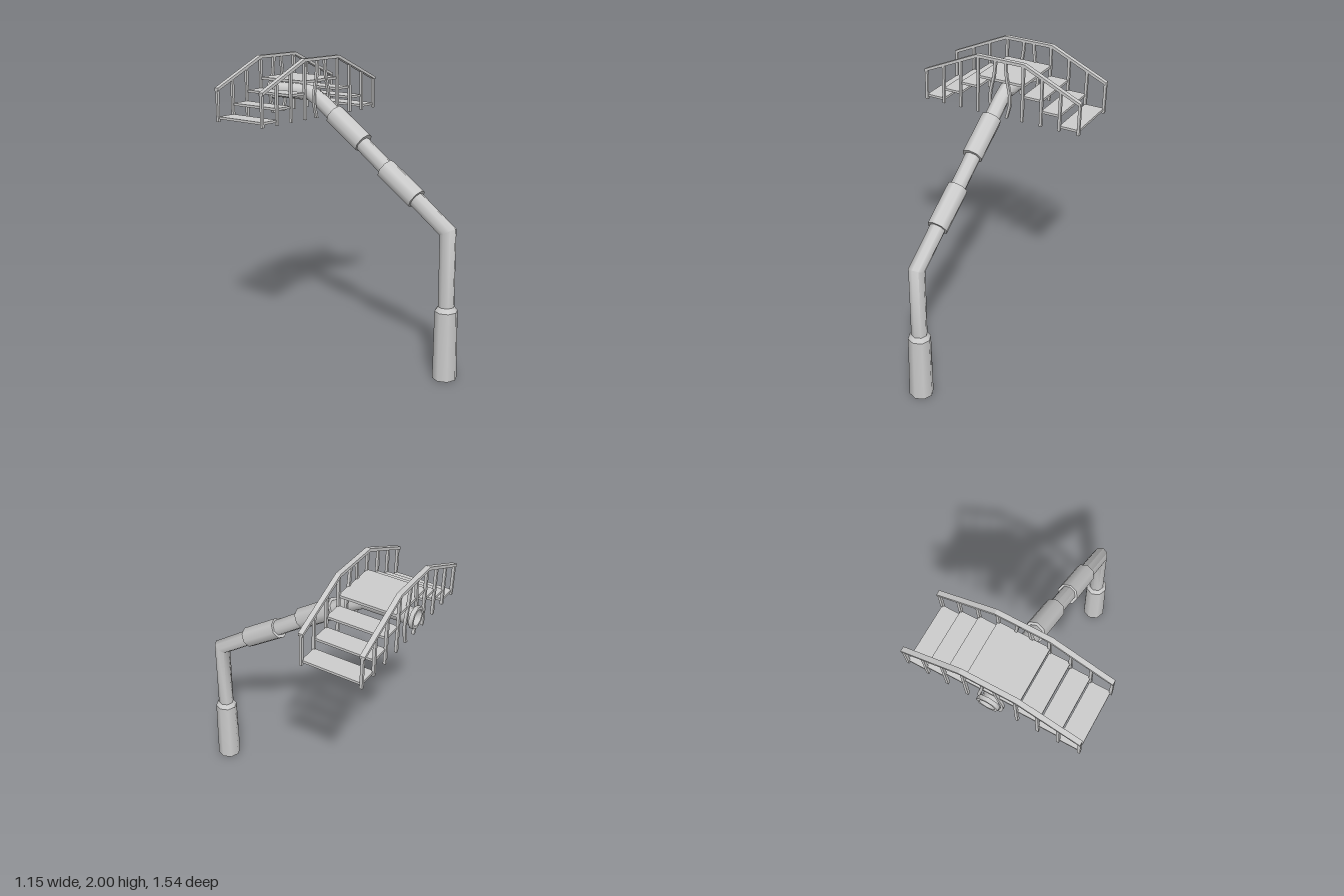
import * as THREE from 'three';
import { toCreasedNormals } from 'three/addons/utils/BufferGeometryUtils.js';

const SIDES = 8;
const PIPE_R = 0.053;
const grey = new THREE.MeshStandardMaterial({ color: 0xcccccc });
const greyOpen = new THREE.MeshStandardMaterial({ color: 0xcccccc, side: THREE.DoubleSide });

function add(parent, name, geometry, material = grey) {
  const mesh = new THREE.Mesh(geometry, material);
  mesh.name = name;
  parent.add(mesh);
  return mesh;
}

function addBox(parent, name, x0, x1, y0, y1, z0, z1) {
  const box = add(parent, name, new THREE.BoxGeometry(x1 - x0, y1 - y0, z1 - z0));
  box.position.set((x0 + x1) / 2, (y0 + y1) / 2, (z0 + z1) / 2);
}

// Flat outline in x and y, given thickness along z and centred on z
function slab(points, depth, z) {
  const shape = new THREE.Shape(points);
  return new THREE.ExtrudeGeometry(shape, { depth, bevelEnabled: false }).translate(0, 0, z - depth / 2);
}

// Mitred pipe through points in the plane x = 0
function pipeGeometry(path, radius) {
  const positions = [], index = [];
  path.forEach((p, i) => {
    const before = p.clone().sub(path[Math.max(i - 1, 0)]).normalize();
    const after = path[Math.min(i + 1, path.length - 1)].clone().sub(p).normalize();
    const dir = before.clone().add(after).normalize();
    const stretch = 1 / Math.max(dir.dot(before), dir.dot(after));
    for (let j = 0; j < SIDES; j++) {
      const a = (j / SIDES) * Math.PI * 2;
      const s = Math.sin(a) * radius * stretch;
      positions.push(Math.cos(a) * radius, p.y + dir.z * s, p.z - dir.y * s);
      if (i === path.length - 1) continue;
      const k = (j + 1) % SIDES, r0 = i * SIDES, r1 = r0 + SIDES;
      index.push(r0 + j, r0 + k, r1 + j, r0 + k, r1 + k, r1 + j);
    }
  });
  const geometry = new THREE.BufferGeometry();
  geometry.setAttribute('position', new THREE.Float32BufferAttribute(positions, 3));
  geometry.setIndex(index);
  return toCreasedNormals(geometry, 0.9);
}

function octagon(PathType, radius) {
  const points = [];
  for (let i = 0; i < SIDES; i++) {
    const a = (i / SIDES) * Math.PI * 2;
    points.push(new THREE.Vector2(Math.cos(a) * radius, Math.sin(a) * radius));
  }
  return new PathType(points);
}

function buildPole() {
  const pole = new THREE.Group();
  pole.name = 'pole';
  const at = (y, z) => new THREE.Vector3(0, y, z);

  // Thick foot with a chamfered collar
  add(pole, 'foot', new THREE.CylinderGeometry(0.075, 0.081, 0.46, SIDES)).position.set(0, 0.23, 0.69);
  add(pole, 'footCollar', new THREE.CylinderGeometry(PIPE_R, 0.075, 0.03, SIDES)).position.set(0, 0.475, 0.69);

  // Bent pipe: upright, sloping arm, level end
  const path = [at(0.46, 0.69), at(0.98, 0.69), at(1.705, -0.33), at(1.755, -0.42), at(1.755, -0.77)];
  add(pole, 'pipe', pipeGeometry(path, PIPE_R), greyOpen);

  // Sleeves around the sloping arm
  const sleeves = [[at(1.154, 0.45), at(1.32, 0.204)], [at(1.464, 0.024), at(1.63, -0.22)]];
  for (const [a, b] of sleeves) {
    const dir = b.clone().sub(a);
    const sleeve = add(pole, 'sleeve', new THREE.CylinderGeometry(0.07, 0.07, dir.length(), SIDES));
    sleeve.position.copy(a).add(b).multiplyScalar(0.5);
    sleeve.rotation.x = Math.atan2(dir.z, dir.y);
  }

  // Ring around the open end
  const ring = octagon(THREE.Shape, 0.071);
  ring.holes.push(octagon(THREE.Path, PIPE_R));
  const ringGeometry = new THREE.ExtrudeGeometry(ring, { depth: 0.027, bevelEnabled: false });
  add(pole, 'endRing', toCreasedNormals(ringGeometry, 0.9)).position.set(0, 1.757, -0.772);
  return pole;
}

function buildStairs() {
  const stairs = new THREE.Group();
  stairs.name = 'steppedPlatform';
  const postX = [0.165, 0.3, 0.432, 0.567];
  const zFront = -0.334, zBack = -0.728;
  const railY = x => (x < 0.175 ? 1.985 : 1.985 - (x - 0.175) * 0.45);

  // Top platform and the steps on both sides
  addBox(stairs, 'topPlatform', -0.17, 0.17, 1.838, 1.855, zBack, zFront);
  for (const side of [-1, 1]) {
    for (let i = 0; i < 3; i++) {
      const a = side * postX[i], b = side * postX[i + 1], y = 1.78 - i * 0.073;
      addBox(stairs, 'step', Math.min(a, b), Math.max(a, b), y - 0.016, y, zBack, zFront);
    }
  }

  // Bowed brace that passes around the pipe
  const bow = new THREE.SplineCurve([[0.036, 1.985], [0.046, 1.88], [0.07, 1.77], [0.073, 1.7], [0.058, 1.63], [0.05, 1.6]]
    .map(([x, y]) => new THREE.Vector2(x, y))).getPoints(14);

  for (const z of [zFront, zBack]) {
    // Handrail
    const rail = [[-0.575, 1.8], [-0.17, 1.98], [0.17, 1.98], [0.575, 1.8], [0.575, 1.82], [0.175, 2], [-0.175, 2], [-0.575, 1.82]]
      .map(([x, y]) => new THREE.Vector2(x, y));
    add(stairs, 'handrail', slab(rail, 0.032, z));

    for (const side of [-1, 1]) {
      for (const x of postX) {
        addBox(stairs, 'post', side * x - 0.009, side * x + 0.009, 1.6, railY(x), z - 0.009, z + 0.009);
      }
      const edge = offset => bow.map(p => new THREE.Vector2(side * p.x + offset, p.y));
      add(stairs, 'bowedBrace', slab([...edge(-0.009), ...edge(0.009).reverse()], 0.018, z));
    }
  }
  return stairs;
}

export function createModel() {
  const model = new THREE.Group();
  model.name = 'steppedPlatformOnPole';
  model.add(buildPole(), buildStairs());
  return model;
}
